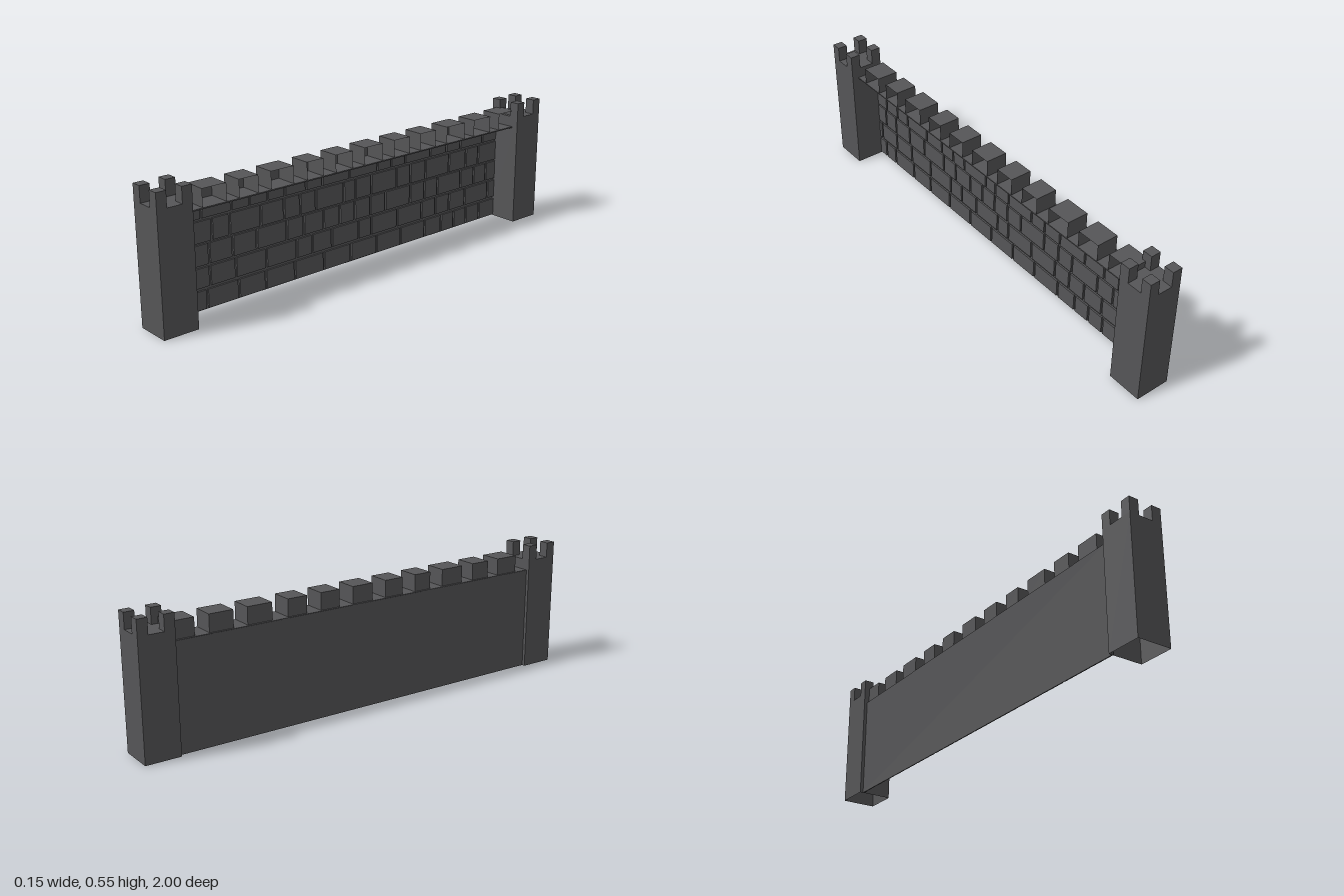
import * as THREE from 'three';

const stone = new THREE.MeshStandardMaterial({ color: 0x555557, side: THREE.DoubleSide });
stone.name = 'darkStone';

// Face order of a box: +x, -x, +y, -y, +z, -z
const PX = 0, NY = 3;

// Box given by its min and max corners, with some faces left open
function box(name, [x0, y0, z0], [x1, y1, z1], open = []) {
  const g = new THREE.BoxGeometry(x1 - x0, y1 - y0, z1 - z0);
  const index = Array.from(g.index.array).filter((_, i) => !open.includes(Math.floor(i / 6)));
  g.setIndex(index);
  g.clearGroups();
  g.translate((x0 + x1) / 2, (y0 + y1) / 2, (z0 + z1) / 2);
  const mesh = new THREE.Mesh(g, stone);
  mesh.name = name;
  return mesh;
}

// Square tower, hollow below, with a block on each top corner
function tower(name, z) {
  const group = new THREE.Group();
  group.name = name;
  const h = 0.073, b = 0.042, floor = 0.485, top = 0.549;
  group.add(box('towerBody', [-h, 0, -h], [h, floor, h], [NY]));
  for (const x of [-h, h - b]) {
    for (const d of [-h, h - b]) {
      group.add(box('towerCornerBlock', [x, floor, d], [x + b, top, d + b], [NY]));
    }
  }
  group.position.z = z;
  return group;
}

// Brick courses: bottom, top, and the joint positions along z in hundredths
const END = 0.855;
const COURSES = [
  [0.004, 0.08, [80.5, 73, 58.5, 45.7, 31.3, 16.3, 1.9, -12.6, -26.5, -40.9, -51.1, -59.1, -67.1, -75.7]],
  [0.092, 0.17, [83.2, 71.4, 59.6, 45.2, 30.2, 22.2, 12, -2.4, -9.4, -24.3, -38.8, -47.3, -55.9, -66, -81]],
  [0.18, 0.261, [79.4, 71.4, 60.7, 49.5, 35, 26.5, 16.3, 7.8, -0.3, -8.8, -17.4, -31.8, -40.4, -48.4, -62.8, -71.4, -79.4]],
  [0.269, 0.353, [78.3, 69.8, 61.8, 47.3, 36.1, 28.1, 20.1, 5.6, -0.8, -9.4, -23.8, -31.8, -40.9, -55.3, -66, -74]],
  [0.363, 0.433, [74.3, 60.7, 52.4, 43.9, 35.5, 25, 16.8, 2.4, -12.8, -20.6, -28.6, -43.6, -53.5, -62.3, -76.5]],
];

// Battlement blocks on the walkway: far and near end along z
const MERLONS = [
  [0.69, 0.794], [0.548, 0.634], [0.382, 0.489], [0.238, 0.318], [0.088, 0.174], [-0.072, 0.024],
  [-0.222, -0.136], [-0.372, -0.286], [-0.548, -0.441], [-0.708, -0.607], [-0.87, -0.767],
];

export function createModel() {
  const model = new THREE.Group();
  model.name = 'castleWall';

  model.add(tower('frontTower', 0.927), tower('backTower', -0.927));

  // Thin wall behind the bricks and the walkway overhanging it
  model.add(box('wallPlate', [-0.059, 0, -0.86], [-0.056, 0.438, 0.86]));
  model.add(box('walkway', [-0.058, 0.435, -0.86], [0.044, 0.44, 0.86]));

  // Raised bricks on the inner side
  const bricks = new THREE.Group();
  bricks.name = 'bricks';
  const gap = 0.005;
  for (const [y0, y1, joints] of COURSES) {
    const ends = [END + gap, ...joints.map((j) => j / 100), -END - gap];
    for (let i = 0; i < ends.length - 1; i++) {
      bricks.add(box('brick', [-0.057, y0, ends[i + 1] + gap], [-0.049, y1, ends[i] - gap]));
    }
  }
  model.add(bricks);

  // Battlement blocks, open towards the inner side
  const battlements = new THREE.Group();
  battlements.name = 'battlements';
  for (const [z0, z1] of MERLONS) {
    battlements.add(box('merlon', [-0.05, 0.44, z0], [0.043, 0.511, z1], [PX, NY]));
  }
  model.add(battlements);

  return model;
}
